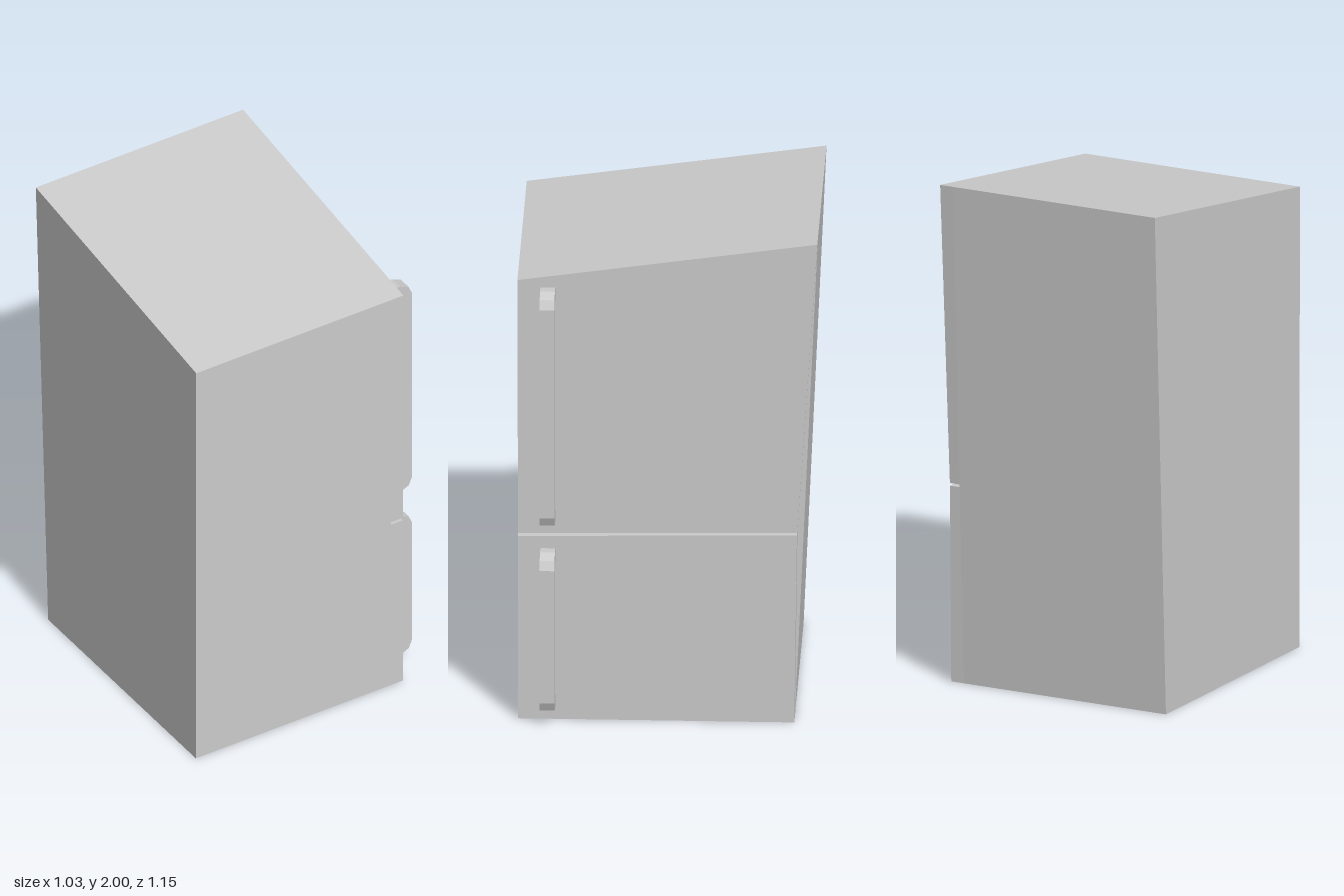
import * as THREE from 'three';

const material = new THREE.MeshStandardMaterial({ color: 0xcccccc, flatShading: true });

function extrude(points, depth) {
  const shape = new THREE.Shape(points.map(([x, y]) => new THREE.Vector2(x, y)));
  return new THREE.ExtrudeGeometry(shape, { depth, bevelEnabled: false });
}

function addMesh(group, name, geometry) {
  const mesh = new THREE.Mesh(geometry, material);
  mesh.name = name;
  group.add(mesh);
}

// Side panel given as [z, y] corners, running from x0 to x1
function panel(points, x0, x1) {
  return extrude(points.map(([z, y]) => [-z, y]), x1 - x0).rotateY(Math.PI / 2).translate(x0, 0, 0);
}

// Bracket handle with chamfered outer corners, standing off the door
function handle(y0, y1) {
  const door = 0.415, inner = 0.46, outer = 0.515, t = 0.054;
  const profile = [
    [door, y0], [inner, y0], [0.5, y0 + 0.018], [outer, y0 + t],
    [outer, y1 - t], [0.5, y1 - 0.018], [inner, y1], [door, y1],
    [door, y1 - t], [inner, y1 - t], [inner, y0 + t], [door, y0 + t],
  ];
  return extrude(profile, 0.057).translate(0, 0, 0.43);
}

export function createModel() {
  const group = new THREE.Group();
  group.name = 'refrigerator';

  // Skewed cabinet with sloping top and leaning back
  addMesh(group, 'cabinet', panel([[0.572, 0], [0.575, 1.833], [-0.573, 2], [-0.485, 0]], -0.518, 0.364));

  // Doors on the +x side, separated by a thin slanted gap
  addMesh(group, 'upperDoor', panel([[0.573, 0.775], [0.575, 1.833], [-0.573, 2], [-0.496, 0.793]], 0.364, 0.42));
  addMesh(group, 'lowerDoor', panel([[0.572, 0], [0.573, 0.763], [-0.495, 0.782], [-0.485, 0]], 0.364, 0.42));

  // Handles
  addMesh(group, 'upperHandle', handle(0.826, 1.804));
  addMesh(group, 'lowerHandle', handle(0.052, 0.713));

  return group;
}
